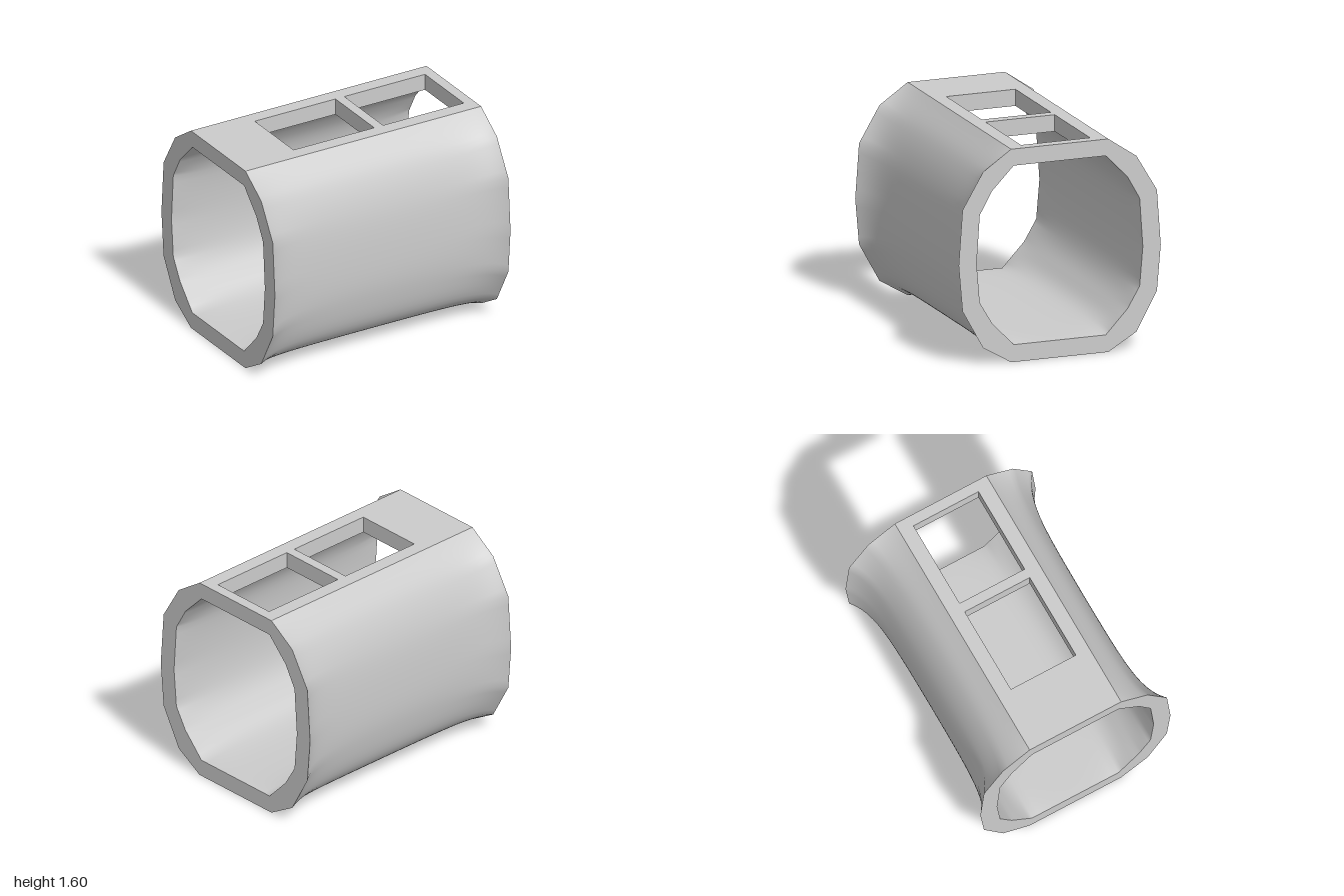
import * as THREE from 'three';

const material = new THREE.MeshStandardMaterial({ color: 0xcccccc });

// Half sections as [z, y], from the upper corner down to the bottom centre
const OUTER_END = [[0.38, 1.6], [0.6, 1.45], [0.76, 1.18], [0.79, 0.765], [0.76, 0.42], [0.6, 0.13], [0.38, 0], [0, 0]];
const OUTER_MID = [[0.38, 1.6], [0.54, 1.39], [0.63, 1.12], [0.657, 0.765], [0.64, 0.46], [0.56, 0.19], [0.39, 0.065], [0, 0.018]];
const INNER_END = [[0.36, 1.475], [0.53, 1.3], [0.625, 1.13], [0.65, 0.765], [0.625, 0.47], [0.53, 0.31], [0.36, 0.13], [0, 0.13]];
const INNER_MID = [[0.36, 1.475], [0.52, 1.3], [0.613, 1.1], [0.642, 0.765], [0.613, 0.48], [0.52, 0.3], [0.36, 0.165], [0, 0.135]];

const STEPS = 6; // samples per section edge
const ROWS = 14 * STEPS;
const COLS = 48;

// Mirror a half section and sample it, either straight-edged or as a smooth curve
function sampleSection(half, smooth) {
  const mirrored = half.slice(0, -1).reverse().map(([z, y]) => [-z, y]);
  const pts = [...half, ...mirrored].map(([z, y]) => new THREE.Vector3(0, y, z));
  const curve = new THREE.CatmullRomCurve3(pts, false, 'catmullrom', 0.5);
  return Array.from({ length: ROWS + 1 }, (_, i) => {
    if (smooth) return curve.getPoint(i / ROWS);
    const k = Math.min(Math.floor(i / STEPS), pts.length - 2);
    return pts[k].clone().lerp(pts[k + 1], i / STEPS - k);
  });
}

// Surface over a rows x cols grid of points
function gridGeometry(cols, point, flip) {
  const positions = [];
  const index = [];
  for (let i = 0; i <= ROWS; i++) {
    for (let j = 0; j <= cols; j++) positions.push(...point(i, j).toArray());
  }
  for (let i = 0; i < ROWS; i++) {
    for (let j = 0; j < cols; j++) {
      const a = i * (cols + 1) + j;
      const b = a + cols + 1;
      if (flip) index.push(a, a + 1, b, b, a + 1, b + 1);
      else index.push(a, b, a + 1, b, b + 1, a + 1);
    }
  }
  const geometry = new THREE.BufferGeometry();
  geometry.setAttribute('position', new THREE.Float32BufferAttribute(positions, 3));
  geometry.setIndex(index);
  geometry.computeVertexNormals();
  return geometry;
}

// Wall that is rounded along its length and flares into the faceted rims
function wallGeometry(end, mid, flip) {
  return gridGeometry(COLS, (i, j) => {
    const x = Math.sin((j / COLS - 0.5) * Math.PI);
    const flare = Math.exp(-(1 - Math.abs(x)) / 0.16);
    const p = mid[i].clone().lerp(end[i], flare);
    p.x = x;
    return p;
  }, flip);
}

// Flat top slab with two rectangular windows
function topGeometry() {
  const rect = (target, x0, x1, z) => {
    target.moveTo(x0, -z);
    target.lineTo(x1, -z);
    target.lineTo(x1, z);
    target.lineTo(x0, z);
    target.closePath();
    return target;
  };
  const shape = rect(new THREE.Shape(), -1, 1, 0.38);
  for (const [x0, x1] of [[-0.525, 0.16], [0.235, 0.92]]) {
    shape.holes.push(rect(new THREE.Path(), x0, x1, 0.27));
  }
  const geometry = new THREE.ExtrudeGeometry(shape, { depth: 0.125, bevelEnabled: false });
  geometry.rotateX(-Math.PI / 2).translate(0, 1.475, 0);
  // narrow the underside to meet the inner wall
  const pos = geometry.attributes.position;
  for (let i = 0; i < pos.count; i++) {
    if (pos.getY(i) < 1.5 && Math.abs(pos.getZ(i)) > 0.3) pos.setZ(i, Math.sign(pos.getZ(i)) * 0.36);
  }
  geometry.computeVertexNormals();
  return geometry;
}

export function createModel() {
  const group = new THREE.Group();
  group.name = 'windowedSleeve';
  const add = (name, geometry) => {
    const mesh = new THREE.Mesh(geometry, material);
    mesh.name = name;
    group.add(mesh);
  };

  const outerEnd = sampleSection(OUTER_END, false);
  const innerEnd = sampleSection(INNER_END, false);
  add('outerWall', wallGeometry(outerEnd, sampleSection(OUTER_MID, true), false));
  add('innerWall', wallGeometry(innerEnd, sampleSection(INNER_MID, true), true));
  add('topPlate', topGeometry());

  // Flat rims closing the wall at both ends
  for (const side of [1, -1]) {
    const rim = gridGeometry(1, (i, j) => {
      const p = (j ? innerEnd : outerEnd)[i].clone();
      p.x = side;
      return p;
    }, side < 0);
    add(side > 0 ? 'leftRim' : 'rightRim', rim);
  }
  return group;
}
